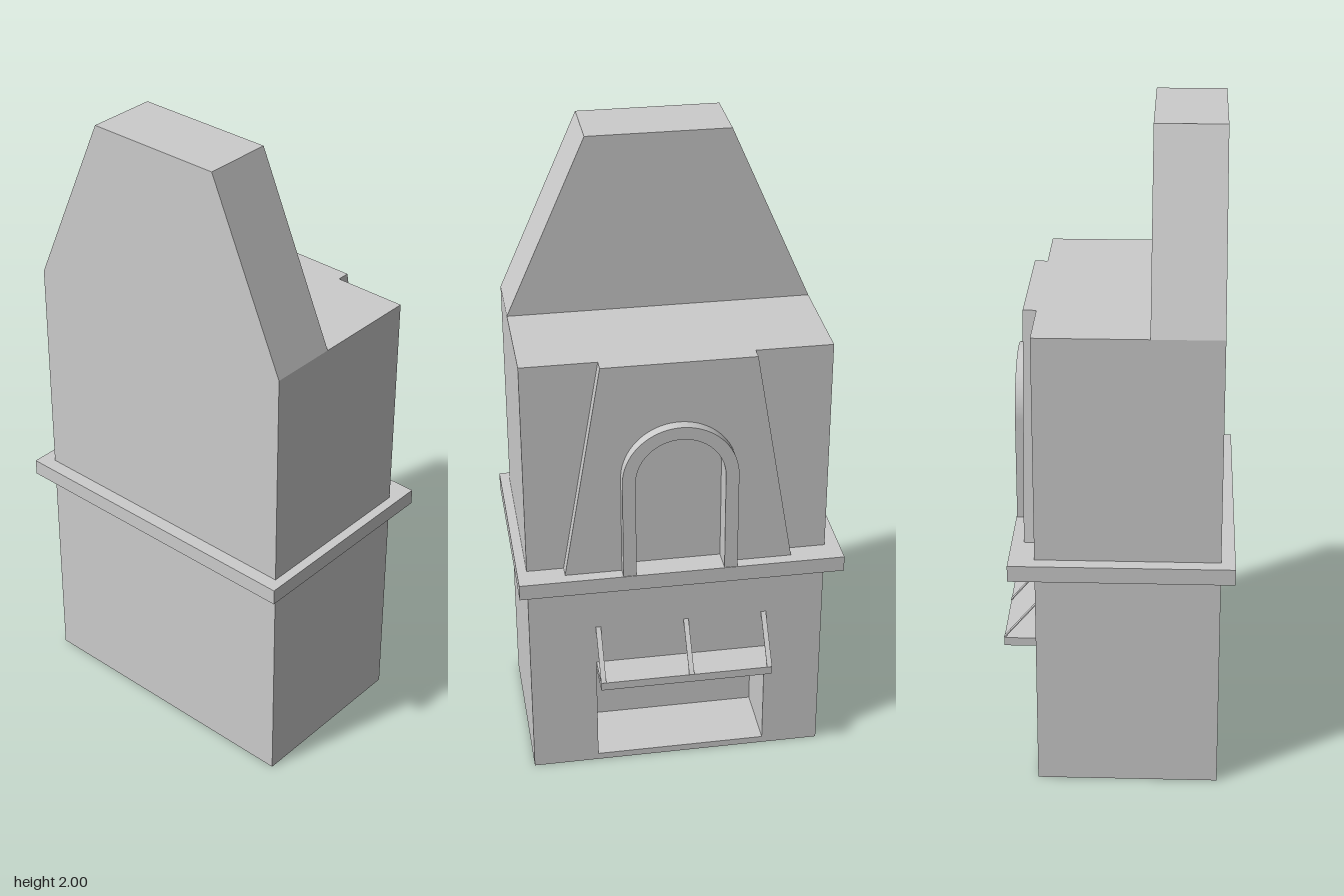
import * as THREE from 'three';
import { toCreasedNormals } from 'three/addons/utils/BufferGeometryUtils.js';

const material = new THREE.MeshStandardMaterial({ color: 0xcccccc });

// Main outline shared by the stacked blocks
const LEFT = 0.47, RIGHT = -0.455, FRONT = 0.31, BACK = -0.24;
const SHELF_BOTTOM = 0.7, SHELF_TOP = 0.75, SHOULDER = 1.445, TOP = 2;

function add(group, name, geometry) {
  const mesh = new THREE.Mesh(geometry, material);
  mesh.name = name;
  group.add(mesh);
  return mesh;
}

// Box given by its two extreme corners
function block(group, name, [x0, y0, z0], [x1, y1, z1]) {
  const mesh = add(group, name, new THREE.BoxGeometry(x1 - x0, y1 - y0, z1 - z0));
  mesh.position.set((x0 + x1) / 2, (y0 + y1) / 2, (z0 + z1) / 2);
  return mesh;
}

// Outline in x/y extruded from z0 to z1
function slab(group, name, shape, z0, z1) {
  const geometry = new THREE.ExtrudeGeometry(shape, { depth: z1 - z0, bevelEnabled: false, curveSegments: 32 });
  const mesh = add(group, name, toCreasedNormals(geometry, 0.5));
  mesh.position.z = z0;
  return mesh;
}

const polygon = (points) => new THREE.Shape(points.map(([x, y]) => new THREE.Vector2(x, y)));

// Continues a path up one leg, over the round arch and down the other leg
function archTo(path, cx, springY, r, baseY, fromRight) {
  const [a, b] = fromRight ? [0, Math.PI] : [Math.PI, 0];
  const side = fromRight ? 1 : -1;
  path.lineTo(cx + side * r, baseY);
  path.lineTo(cx + side * r, springY);
  path.absarc(cx, springY, r, a, b, !fromRight);
  path.lineTo(cx - side * r, baseY);
}

export function createModel() {
  const model = new THREE.Group();
  model.name = 'fireplace';

  // Lower body with the wood store recess
  const storeL = 0.263, storeR = -0.275, storeFloor = 0.022, storeTop = 0.36, storeBack = -0.027;
  const lower = polygon([[RIGHT, 0], [LEFT, 0], [LEFT, SHELF_BOTTOM], [RIGHT, SHELF_BOTTOM]]);
  lower.holes.push(polygon([[storeR, storeFloor], [storeR, storeTop], [storeL, storeTop], [storeL, storeFloor]]));
  slab(model, 'woodStoreWall', lower, BACK, storeBack);
  block(model, 'lowerBody', [RIGHT, 0, storeBack], [LEFT, SHELF_BOTTOM, FRONT]);

  // Ledge around the middle, upper body and tapering chimney
  block(model, 'mantelLedge', [-0.5, SHELF_BOTTOM, -0.317], [0.5, SHELF_TOP, 0.352]);
  block(model, 'upperBody', [RIGHT, SHELF_TOP, BACK], [LEFT, SHOULDER, FRONT]);
  slab(model, 'chimneyHood', polygon([[RIGHT, SHOULDER], [LEFT, SHOULDER], [0.225, TOP], [-0.21, TOP]]), 0.098, FRONT);

  // Tapered panel with an arched opening, framed by a raised arch
  const cx = 0.009, springY = 1.075, outerR = 0.175, innerR = 0.135, panelZ = -0.28;
  const panel = polygon([[-0.34, SHELF_TOP], [cx - innerR, SHELF_TOP]]);
  archTo(panel, cx, springY, innerR, SHELF_TOP, false);
  panel.lineTo(0.357, SHELF_TOP);
  panel.lineTo(0.24, SHOULDER);
  panel.lineTo(-0.222, SHOULDER);
  slab(model, 'taperedPanel', panel, panelZ, BACK);

  const frame = new THREE.Shape();
  frame.moveTo(cx + innerR, SHELF_TOP);
  archTo(frame, cx, springY, outerR, SHELF_TOP, true);
  archTo(frame, cx, springY, innerR, SHELF_TOP, false);
  slab(model, 'archFrame', frame, -0.315, panelZ);

  // Small shelf above the wood store, hung on three slanted straps
  const shelfEdge = -0.353, shelfTop = 0.387, strapTop = 0.52;
  block(model, 'smallShelf', [storeR, storeTop, shelfEdge], [storeL, shelfTop, BACK]);
  const rise = strapTop - shelfTop, run = BACK - shelfEdge;
  for (const x of [-0.2675, -0.021, 0.255]) {
    const strap = add(model, 'shelfStrap', new THREE.BoxGeometry(0.016, Math.hypot(rise, run), 0.003));
    strap.position.set(x, (strapTop + shelfTop) / 2, (BACK + shelfEdge) / 2);
    strap.rotation.x = Math.atan2(run, rise);
  }
  return model;
}
